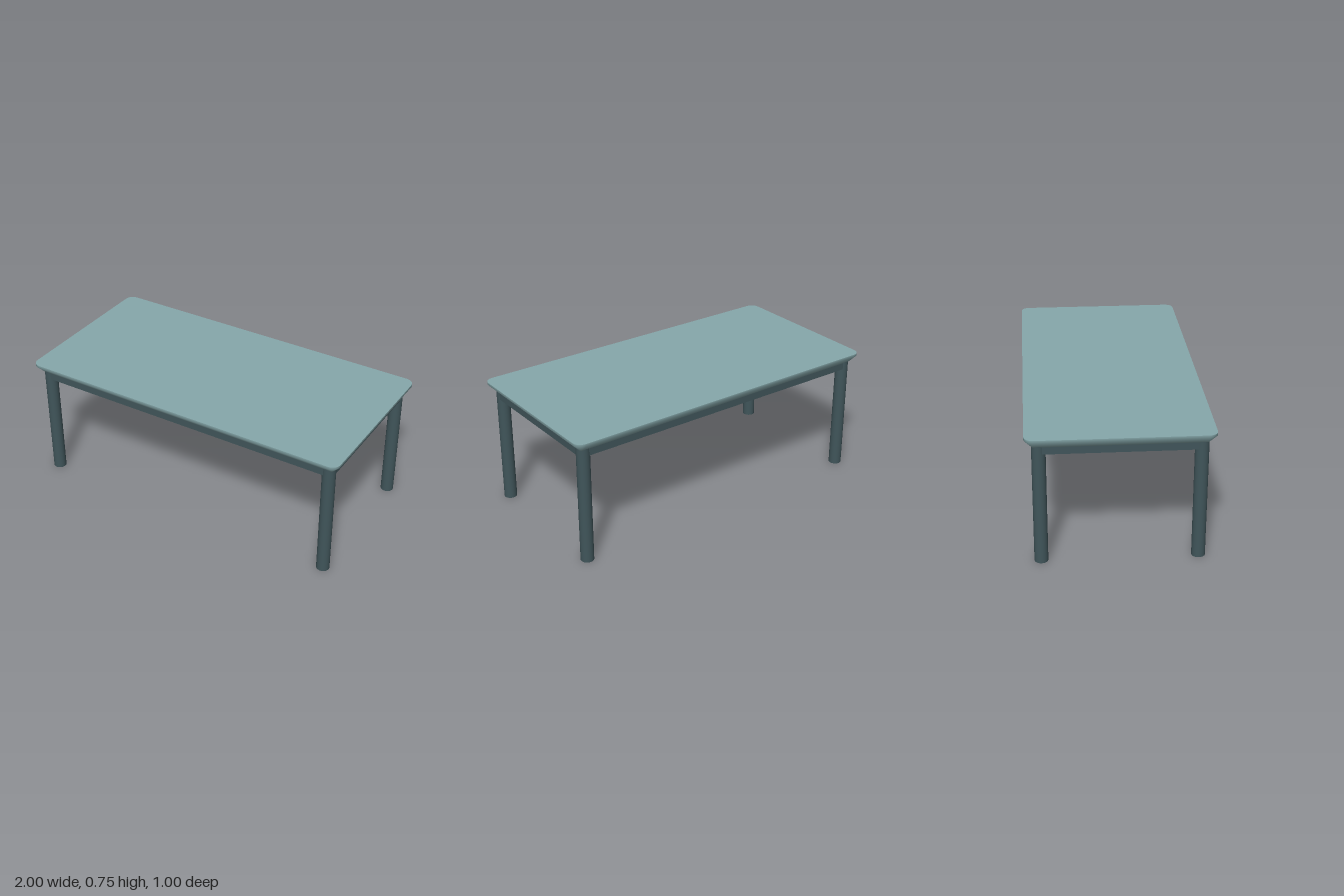
import * as THREE from 'three';
import { toCreasedNormals } from 'three/addons/utils/BufferGeometryUtils.js';

const topMat = new THREE.MeshStandardMaterial({ color: 0x86a8ab });
const frameMat = new THREE.MeshStandardMaterial({ color: 0x40555a });

// Rounded rectangle outline at a given inset from the table edge
function outline(inset, steps = 8) {
  const r = Math.max(0.05 - inset, 0.004);
  const cx = 1 - inset - r, cz = 0.5 - inset - r;
  const pts = [];
  [[1, 1], [-1, 1], [-1, -1], [1, -1]].forEach(([sx, sz], q) => {
    for (let i = 0; i <= steps; i++) {
      const a = (q + i / steps) * Math.PI / 2;
      pts.push([sx * cx + r * Math.cos(a), sz * cz + r * Math.sin(a)]);
    }
  });
  return pts;
}

// Loft the outline through [inset, y] steps and cap both ends
function loft(profile) {
  const pos = [], idx = [];
  const rings = profile.map(([inset, y]) => outline(inset).map(([x, z]) => [x, y, z]));
  const n = rings[0].length;
  rings.forEach(ring => ring.forEach(p => pos.push(...p)));
  for (let k = 0; k < rings.length - 1; k++) {
    for (let i = 0; i < n; i++) {
      const a = k * n + i, b = k * n + (i + 1) % n;
      idx.push(a, b, a + n, b, b + n, a + n);
    }
  }
  const first = pos.length / 3, last = first + 1, base = (rings.length - 1) * n;
  pos.push(0, profile[0][1], 0, 0, profile[profile.length - 1][1], 0);
  for (let i = 0; i < n; i++) {
    const j = (i + 1) % n;
    idx.push(first, j, i, last, base + i, base + j);
  }
  const geo = new THREE.BufferGeometry();
  geo.setAttribute('position', new THREE.Float32BufferAttribute(pos, 3));
  geo.setIndex(idx);
  return toCreasedNormals(geo, 1);
}

export function createModel() {
  const table = new THREE.Group();
  table.name = 'table';
  const add = (name, geo, mat, x, y, z) => {
    const mesh = new THREE.Mesh(geo, mat);
    mesh.name = name;
    mesh.position.set(x, y, z);
    table.add(mesh);
  };

  // Top with a bevelled underside edge and a recessed bottom
  add('tableTop', loft([[0, 0.75], [0, 0.735], [0.044, 0.69], [0.06, 0.69], [0.06, 0.71]]), topMat, 0, 0, 0);

  // Round legs
  const legGeo = new THREE.CylinderGeometry(0.0375, 0.0375, 0.71, 32);
  for (const sx of [-1, 1]) {
    for (const sz of [-1, 1]) add('leg', legGeo, frameMat, sx * 0.925, 0.355, sz * 0.425);
  }

  // Apron rails between the legs, with a light lining on the inside
  for (const s of [-1, 1]) {
    add('longApron', new THREE.BoxGeometry(1.85, 0.06, 0.028), frameMat, 0, 0.68, s * 0.443);
    add('shortApron', new THREE.BoxGeometry(0.028, 0.06, 0.85), frameMat, s * 0.943, 0.68, 0);
    add('longLining', new THREE.BoxGeometry(1.85, 0.059, 0.002), topMat, 0, 0.6805, s * 0.428);
    add('shortLining', new THREE.BoxGeometry(0.002, 0.059, 0.85), topMat, s * 0.928, 0.6805, 0);
  }
  return table;
}
